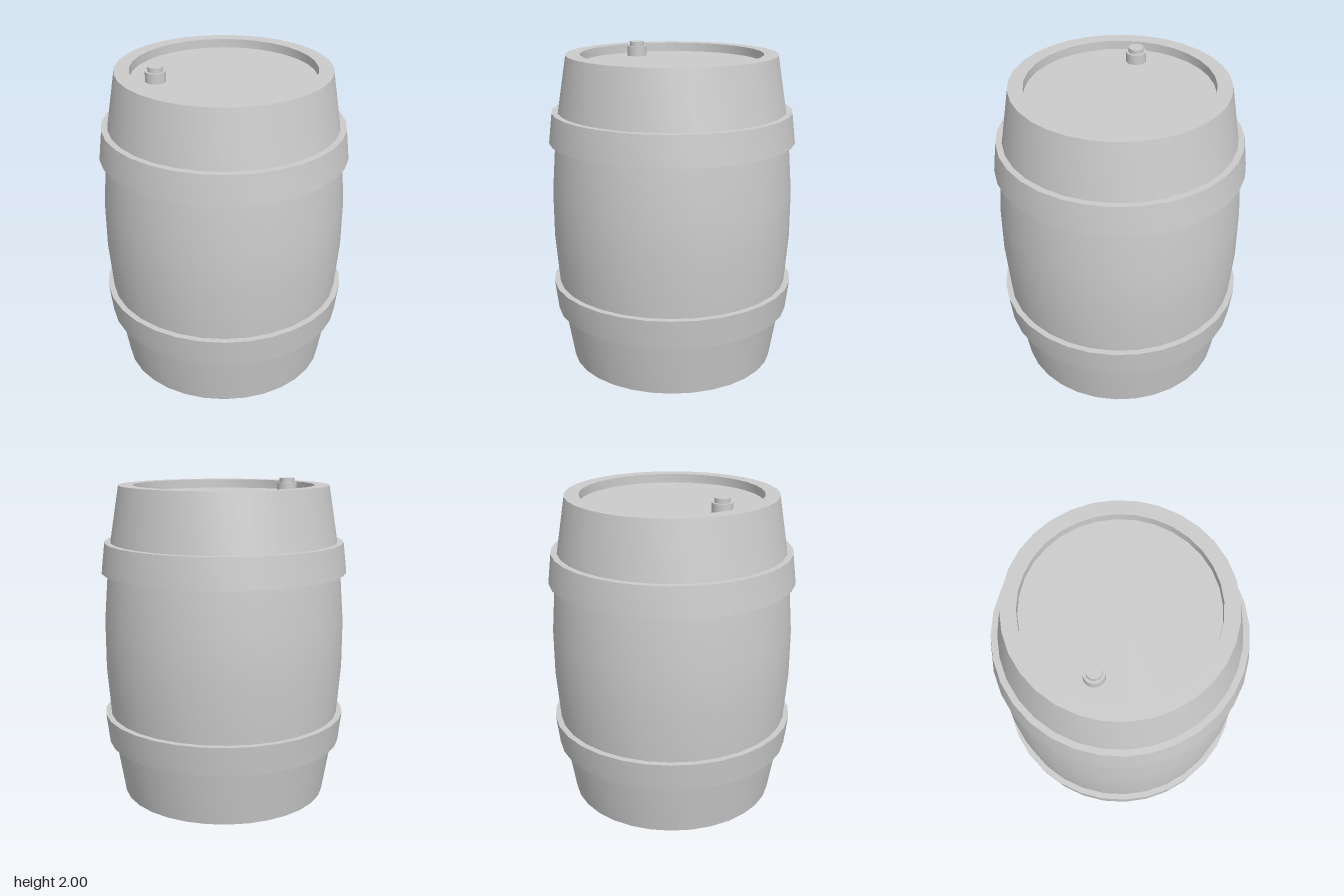
import * as THREE from 'three';
import { toCreasedNormals } from 'three/addons/utils/BufferGeometryUtils.js';

const SIDES = 32;
const LID_Y = 1.91;

export function createModel() {
  const group = new THREE.Group();
  const material = new THREE.MeshStandardMaterial({ color: 0xcccccc, side: THREE.DoubleSide });

  const add = (name, geometry, x = 0, y = 0, z = 0) => {
    const mesh = new THREE.Mesh(geometry, material);
    mesh.name = name;
    mesh.position.set(x, y, z);
    group.add(mesh);
  };

  // Thin open-bottomed shell: staves, both raised hoops and the recessed rim in one profile
  const profile = [
    [0.65, 0], [0.707, 0.345],
    [0.745, 0.345], [0.767, 0.53], [0.73, 0.53],
    [0.754, 0.84], [0.754, 1.13],
    [0.73, 1.435], [0.767, 1.435], [0.745, 1.62],
    [0.707, 1.62], [0.65, 1.965],
    [0.56, 1.965], [0.56, LID_Y],
  ].map(([r, y]) => new THREE.Vector2(r, y));
  add('barrelShell', toCreasedNormals(new THREE.LatheGeometry(profile, SIDES), 0.5));

  // Sunken lid
  add('lid', new THREE.CircleGeometry(0.56, SIDES).rotateX(-Math.PI / 2), 0, LID_Y, 0);

  // Stepped bung standing on the lid
  const bung = [['bungBase', 0.062, LID_Y, 1.972], ['bungCap', 0.046, 1.972, 2]];
  for (const [name, r, y0, y1] of bung) {
    add(name, new THREE.CylinderGeometry(r, r, y1 - y0, SIDES), -0.34, (y0 + y1) / 2, -0.225);
  }

  return group;
}
